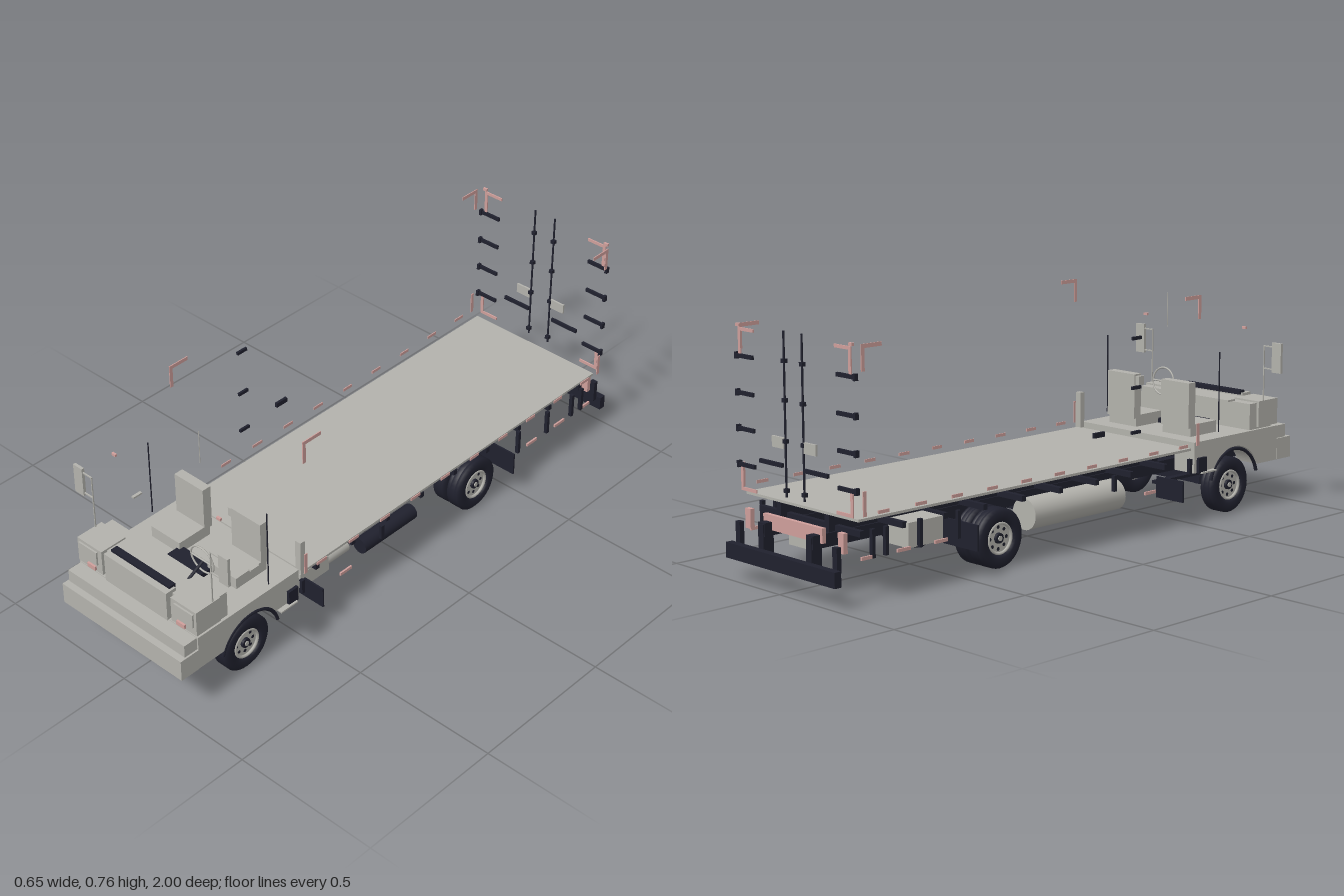
import * as THREE from 'three';

export function createModel() {
  const root = new THREE.Group();
  const mat = (name, color) => {
    const m = new THREE.MeshStandardMaterial({ color });
    m.name = name;
    return m;
  };
  const grey = mat('body grey', 0xb3b2ac);
  const dark = mat('dark rubber and steel', 0x20212e);
  const pink = mat('pale red marker', 0xcf9f9b);

  const add = (name, geo, material, x = 0, y = 0, z = 0, parent = root) => {
    const m = new THREE.Mesh(geo, material);
    m.name = name;
    m.position.set(x, y, z);
    parent.add(m);
    return m;
  };
  // box given by its limits on each axis
  const box = (name, material, x0, x1, y0, y1, z0, z1) =>
    add(name, new THREE.BoxGeometry(Math.abs(x1 - x0), y1 - y0, z1 - z0), material,
      (x0 + x1) / 2, (y0 + y1) / 2, (z0 + z1) / 2);
  // the same box on both sides
  const pair = (name, material, x0, x1, ...rest) => {
    for (const s of [-1, 1]) box(name, material, s * x0, s * x1, ...rest);
  };
  // round bar between two points
  const rod = (name, material, a, b, r, sides = 16) => {
    const p = new THREE.Vector3(...a), q = new THREE.Vector3(...b);
    const d = q.clone().sub(p);
    const m = add(name, new THREE.CylinderGeometry(r, r, d.length(), sides), material,
      ...p.add(q).multiplyScalar(0.5).toArray());
    m.quaternion.setFromUnitVectors(new THREE.Vector3(0, 1, 0), d.normalize());
    return m;
  };

  // --- wheels: axis along y, outer face towards +y
  const wheel = (name, w) => {
    const g = new THREE.Group();
    g.name = name;
    const h = w / 2, R = 0.093;
    const tyre = [[0.05, -h * 0.8], [0.062, -h], [0.082, -h], [R, -h * 0.72], [R, -h * 0.4],
      [R - 0.004, -h * 0.34], [R, -h * 0.28], [R, h * 0.28], [R - 0.004, h * 0.34], [R, h * 0.4],
      [R, h * 0.72], [0.082, h], [0.062, h], [0.05, h * 0.8], [0.05, -h * 0.8]];
    add('tyre', new THREE.LatheGeometry(tyre.map(p => new THREE.Vector2(...p)), 36), dark, 0, 0, 0, g);
    add('rim', new THREE.CylinderGeometry(0.051, 0.051, w * 0.5, 28), grey, 0, 0, 0, g);
    add('rimRing', new THREE.TorusGeometry(0.047, 0.005, 6, 28).rotateX(Math.PI / 2), grey, 0, h * 0.75, 0, g);
    add('hub', new THREE.CylinderGeometry(0.016, 0.02, w * 0.8, 16), dark, 0, 0, 0, g);
    add('hubCap', new THREE.CylinderGeometry(0.008, 0.01, w * 0.9, 12), grey, 0, 0, 0, g);
    for (let i = 0; i < 8; i++) {
      const a = i * Math.PI / 4;
      add('rimHole', new THREE.CylinderGeometry(0.006, 0.006, w * 0.52, 8), dark,
        Math.cos(a) * 0.034, 0, Math.sin(a) * 0.034, g);
    }
    root.add(g);
    return g;
  };
  for (const s of [-1, 1]) {
    for (const [name, x, z, w] of [['frontWheel', 0.209, 0.711, 0.058],
      ['rearOuterWheel', 0.209, -0.342, 0.056], ['rearInnerWheel', 0.149, -0.342, 0.05]]) {
      const g = wheel(name, w);
      g.position.set(s * x, 0.093, z);
      g.rotation.z = -s * Math.PI / 2;
    }
  }
  wheel('spareWheel', 0.046).position.set(0, 0.127, 0.11);

  // --- chassis
  pair('frameRail', dark, 0.095, 0.125, 0.15, 0.19, -0.975, 0.9);
  for (const z of [-0.9, -0.72, -0.55, -0.2, -0.06, 0.27, 0.45, 0.62])
    box('crossMember', dark, -0.1, 0.1, 0.155, 0.182, z - 0.012, z + 0.012);
  for (let z = -0.88; z < 0.45; z += 0.16)
    box('deckBearer', dark, -0.23, 0.23, 0.19, 0.208, z - 0.008, z + 0.008);
  pair('deckRunner', dark, 0.1, 0.12, 0.19, 0.244, -0.91, 0.48);
  box('frontAxle', dark, -0.19, 0.19, 0.08, 0.11, 0.695, 0.727);
  rod('rearAxle', dark, [-0.19, 0.093, -0.342], [0.19, 0.093, -0.342], 0.018);
  add('differential', new THREE.SphereGeometry(0.038, 20, 14), dark, 0, 0.093, -0.342);
  rod('driveShaft', dark, [0, 0.1, -0.33], [0, 0.165, 0.5], 0.01);
  for (const z of [0.711, -0.342]) {
    pair('leafSpring', dark, 0.095, 0.118, 0.112, 0.122, z - 0.23, z + 0.17);
    pair('springSeat', dark, 0.095, 0.12, 0.08, 0.15, z - 0.02, z + 0.02);
  }
  pair('frontMudflap', dark, 0.165, 0.28, 0.085, 0.155, 0.425, 0.431);
  pair('rearMudflap', dark, 0.13, 0.28, 0.085, 0.165, -0.48, -0.474);

  // --- equipment under the deck
  rod('fuelTank', grey, [-0.19, 0.137, -0.2], [-0.19, 0.137, 0.2], 0.05, 28);
  box('batteryBox', grey, 0.13, 0.2, 0.12, 0.175, 0.32, 0.445);
  rod('silencer', grey, [0.17, 0.145, 0.22], [0.17, 0.145, 0.32], 0.024, 20);
  rod('airTank', dark, [0.2, 0.13, -0.06], [0.2, 0.13, 0.18], 0.027, 20);
  box('spareCarrier', dark, -0.06, 0.06, 0.09, 0.102, -0.04, 0.26);
  box('toolBox', grey, -0.24, -0.15, 0.13, 0.205, -0.715, -0.58);

  // --- rear end
  box('rearBumper', dark, -0.25, 0.25, 0.065, 0.112, -1, -0.976);
  pair('bumperPost', dark, 0.212, 0.232, 0.1, 0.175, -0.976, -0.96);
  pair('bumperBracket', dark, 0.098, 0.122, 0.09, 0.185, -0.978, -0.94);
  box('rearBeam', pink, -0.135, 0.135, 0.165, 0.21, -0.948, -0.934);
  pair('rearBeamEnd', pink, 0.2, 0.225, 0.15, 0.21, -0.945, -0.93);
  box('plateHolder', grey, -0.04, 0.04, 0.13, 0.163, -0.93, -0.915);

  // --- load deck
  box('deck', grey, -0.255, 0.255, 0.243, 0.251, -0.915, 0.49);
  for (const z of [0.135, 0.49, -0.53, -0.68, -0.81, -0.86])
    pair('sidePost', dark, 0.245, 0.257, z > 0 ? 0.165 : 0.13, 0.215, z - 0.006, z + 0.006);
  for (const z of [0.3, -0.6, -0.745, -0.88])
    pair('underrideMarker', pink, 0.25, 0.256, 0.13, 0.14, z - 0.025, z + 0.025);
  for (let i = 0; i < 10; i++) {
    const z = 0.43 - i * 0.141;
    pair('sideMarker', pink, 0.275, 0.278, 0.262, 0.272, z - 0.021, z + 0.021);
  }
  box('filler', grey, 0.24, 0.262, 0.25, 0.37, 0.487, 0.506);

  // --- corner markings
  for (const [za, zb, zc] of [[0.493, 0.505, 0.43], [-0.915, -0.903, -0.84]]) {
    const lo = Math.min(za, zc), hi = Math.max(zb, zc);
    pair('upperSideCorner', pink, 0.275, 0.278, 0.74, 0.752, lo, hi);
    pair('upperSideCorner', pink, 0.275, 0.278, 0.675, 0.74, za, zb);
    pair('lowerSideCorner', pink, 0.275, 0.278, 0.262, 0.335, za, zb);
  }
  pair('rearCornerTop', pink, 0.183, 0.255, 0.735, 0.745, -0.934, -0.93);
  pair('rearCornerSide', pink, 0.244, 0.255, 0.667, 0.735, -0.934, -0.93);
  pair('rearCornerLamp', pink, 0.247, 0.263, 0.747, 0.756, -0.936, -0.928);
  pair('rearCornerLower', pink, 0.244, 0.255, 0.262, 0.33, -0.934, -0.93);
  pair('rearCornerBase', pink, 0.183, 0.255, 0.258, 0.268, -0.934, -0.93);

  // --- rear door hardware
  for (const s of [-1, 1]) {
    rod('lockRod', dark, [s * 0.041, 0.27, -0.934], [s * 0.041, 0.757, -0.934], 0.0033, 10);
    for (const y of [0.29, 0.435, 0.555, 0.67])
      box('rodKeeper', dark, s * 0.034, s * 0.048, y - 0.006, y + 0.006, -0.94, -0.927);
  }
  pair('lockPlate', grey, 0.046, 0.1, 0.412, 0.445, -0.938, -0.931);
  pair('lockHandle', dark, 0.05, 0.155, 0.357, 0.369, -0.943, -0.934);
  for (const y of [0.335, 0.443, 0.55, 0.66]) {
    pair('hingeStrap', dark, 0.19, 0.265, y - 0.006, y + 0.006, -0.935, -0.927);
    pair('hingePin', dark, 0.263, 0.272, y - 0.01, y + 0.01, -0.936, -0.922);
  }
  // side door hinges and latch
  for (const y of [0.35, 0.492, 0.648])
    box('sideHinge', dark, -0.289, -0.281, y - 0.005, y + 0.005, 0.175, 0.215);
  box('sideLatch', dark, -0.289, -0.28, 0.357, 0.373, 0.005, 0.052);

  // --- cab base: side skirts with wheel arches
  const skirt = new THREE.Shape();
  skirt.moveTo(0.925, 0.15);
  skirt.lineTo(0.925, 0.267);
  skirt.lineTo(0.508, 0.267);
  skirt.lineTo(0.508, 0.165);
  skirt.lineTo(0.605, 0.165);
  skirt.absarc(0.711, 0.105, 0.122, Math.PI - 0.51, 0.38, true);
  const skirtGeo = new THREE.ExtrudeGeometry(skirt, { depth: 0.085, bevelEnabled: false, curveSegments: 20 });
  skirtGeo.rotateY(-Math.PI / 2); // shape x becomes z, depth runs to -x
  for (const s of [-1, 1]) {
    add('cabSkirt', skirtGeo, grey, s > 0 ? 0.255 : -0.17);
    const lip = add('archLip', new THREE.TorusGeometry(0.118, 0.006, 6, 24, Math.PI * 0.85), dark, s * 0.25, 0.1, 0.711);
    lip.rotation.set(0, -Math.PI / 2, 0);
    lip.rotateZ(Math.PI * 0.075);
  }
  box('cabFloor', grey, -0.17, 0.17, 0.235, 0.267, 0.508, 0.925);
  box('engine', dark, -0.09, 0.09, 0.15, 0.235, 0.55, 0.88);
  box('engineCover', dark, -0.072, 0.072, 0.267, 0.283, 0.68, 0.8);

  // --- front panel, lamps and bumper
  box('dashboard', grey, -0.245, 0.245, 0.267, 0.355, 0.795, 0.905);
  box('grillePanel', grey, -0.133, 0.133, 0.262, 0.366, 0.89, 0.93);
  box('cowlVent', dark, -0.125, 0.125, 0.36, 0.374, 0.884, 0.908);
  pair('headlampHousing', grey, 0.148, 0.254, 0.274, 0.361, 0.83, 0.927);
  pair('headlampGlass', grey, 0.166, 0.244, 0.303, 0.351, 0.927, 0.933);
  pair('indicator', pink, 0.175, 0.209, 0.279, 0.293, 0.927, 0.934);
  box('bumperTop', grey, -0.25, 0.25, 0.22, 0.265, 0.91, 0.975);
  box('frontBumper', grey, -0.256, 0.256, 0.15, 0.222, 0.925, 0.997);
  pair('stepTrim', dark, 0.253, 0.265, 0.165, 0.215, 0.52, 0.56);
  pair('sideRepeater', grey, 0.255, 0.272, 0.163, 0.168, 0.53, 0.6);

  // --- seats
  for (const s of [-1, 1]) {
    box('seatBase', grey, s * 0.06, s * 0.182, 0.267, 0.306, 0.57, 0.697);
    box('seatBack', grey, s * 0.06, s * 0.182, 0.295, 0.446, 0.56, 0.592);
  }
  box('armrest', grey, 0.045, 0.06, 0.41, 0.44, 0.565, 0.59);

  // --- steering
  const rim = add('steeringWheel', new THREE.TorusGeometry(0.047, 0.003, 8, 36), grey, 0.12, 0.39, 0.77);
  rim.rotation.x = 0.08;
  rod('steeringSpoke', grey, [0.075, 0.39, 0.77], [0.165, 0.39, 0.77], 0.003, 8);
  rod('steeringColumn', dark, [0.12, 0.385, 0.765], [0.12, 0.34, 0.85], 0.005, 10);

  // --- mirrors, door edges, aerial, roof markers
  pair('mirror', grey, 0.287, 0.325, 0.46, 0.56, 0.852, 0.862);
  pair('mirrorArm', grey, 0.25, 0.29, 0.543, 0.547, 0.855, 0.859);
  pair('mirrorArm', grey, 0.25, 0.29, 0.468, 0.472, 0.855, 0.859);
  pair('mirrorPost', grey, 0.249, 0.252, 0.36, 0.547, 0.855, 0.859);
  pair('doorEdge', dark, 0.249, 0.252, 0.285, 0.55, 0.629, 0.632);
  pair('doorHandle', grey, 0.246, 0.256, 0.38, 0.386, 0.67, 0.705);
  rod('aerial', grey, [-0.012, 0.605, 0.64], [-0.012, 0.72, 0.64], 0.0015, 6);
  pair('roofMarker', pink, 0.212, 0.228, 0.606, 0.614, 0.785, 0.793);

  return root;
}
